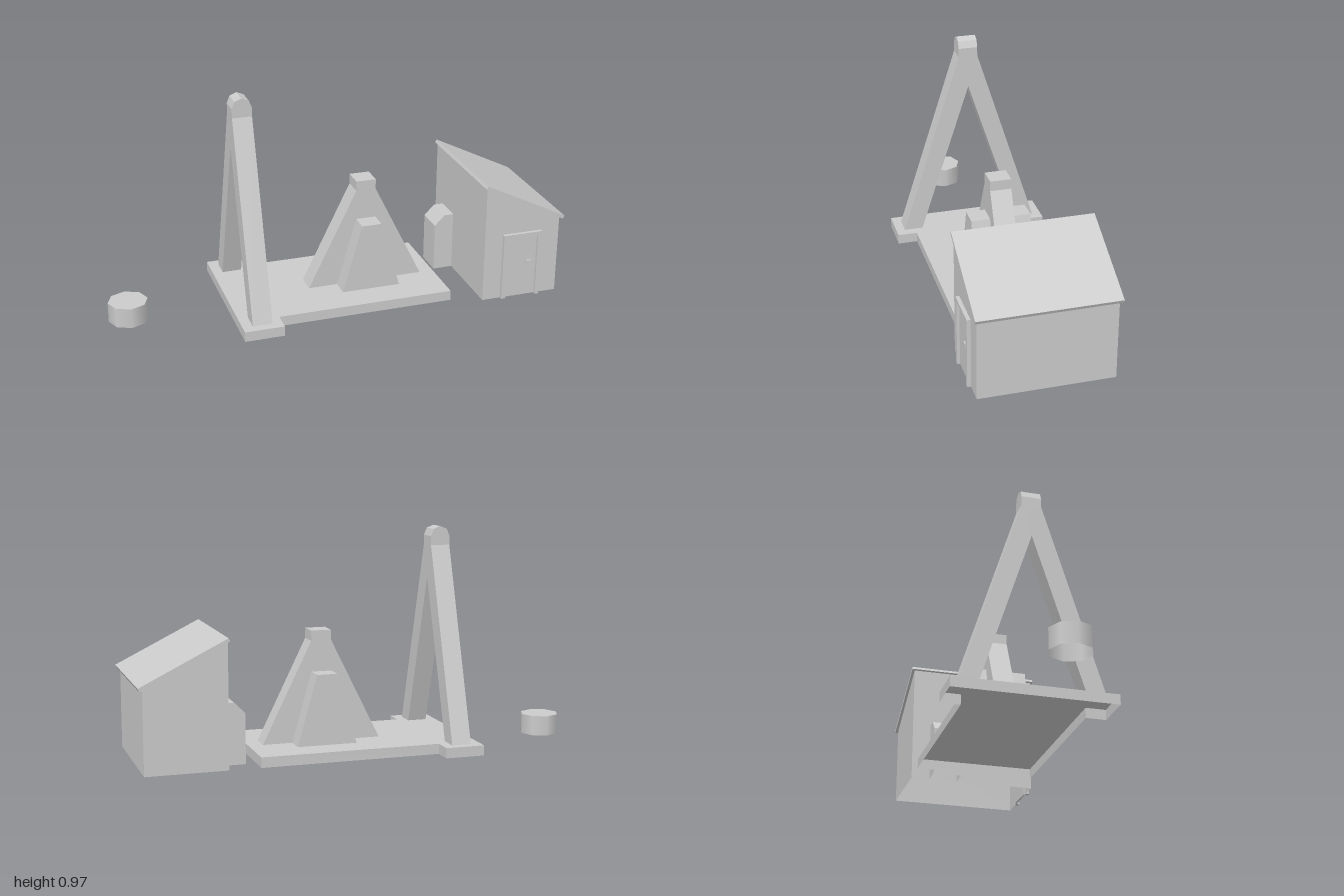
import * as THREE from 'three';

const material = new THREE.MeshStandardMaterial({ color: 0xcccccc, side: THREE.DoubleSide });

function add(parent, name, geometry) {
  const mesh = new THREE.Mesh(geometry, material);
  mesh.name = name;
  parent.add(mesh);
  return mesh;
}

function addGroup(parent, name) {
  const group = new THREE.Group();
  group.name = name;
  parent.add(group);
  return group;
}

// Extrude an outline given as [x, y] points from z0 to z1
function prism(points, z0, z1) {
  const shape = new THREE.Shape(points.map(([x, y]) => new THREE.Vector2(x, y)));
  const geometry = new THREE.ExtrudeGeometry(shape, { depth: z1 - z0, bevelEnabled: false });
  return geometry.translate(0, 0, z0);
}

// Remove the triangles lying on the ground so the shell is open below
function openBottom(geometry) {
  const flat = geometry.index ? geometry.toNonIndexed() : geometry;
  const p = flat.attributes.position, n = flat.attributes.normal;
  const pos = [], nor = [];
  for (let i = 0; i < p.count; i += 3) {
    if ([0, 1, 2].every(k => Math.abs(p.getY(i + k)) < 1e-5)) continue;
    for (let k = 0; k < 3; k++) {
      pos.push(p.getX(i + k), p.getY(i + k), p.getZ(i + k));
      nor.push(n.getX(i + k), n.getY(i + k), n.getZ(i + k));
    }
  }
  const result = new THREE.BufferGeometry();
  result.setAttribute('position', new THREE.Float32BufferAttribute(pos, 3));
  result.setAttribute('normal', new THREE.Float32BufferAttribute(nor, 3));
  return result;
}

function box(x0, x1, y0, y1, z0, z1) {
  return new THREE.BoxGeometry(x1 - x0, y1 - y0, z1 - z0)
    .translate((x0 + x1) / 2, (y0 + y1) / 2, (z0 + z1) / 2);
}

export function createModel() {
  const model = new THREE.Group();
  model.name = 'yard';
  const deck = 0.045;

  // Low octagonal drum, open below
  add(model, 'drum', openBottom(
    new THREE.CylinderGeometry(0.0875, 0.0875, 0.09, 8).translate(-0.912, 0.045, 0)));

  // T-shaped platform, hollow underneath
  const plate = prism([
    [-0.48, -0.353], [-0.305, -0.353], [-0.305, -0.265], [0.49, -0.265],
    [0.49, 0.265], [-0.305, 0.265], [-0.305, 0.353], [-0.48, 0.353],
  ], 0, deck).rotateX(-Math.PI / 2);
  add(model, 'platform', openBottom(plate));

  // Tall A-frame with a rounded head
  const frame = addGroup(model, 'aFrame');
  add(frame, 'legs', prism([
    [-0.313, deck], [-0.228, deck], [0, 0.745], [0.228, deck],
    [0.313, deck], [0.043, 0.89], [-0.043, 0.89],
  ], -0.0435, 0.0435).rotateY(Math.PI / 2).translate(-0.3915, 0, 0));
  const head = [[-0.0435, 0.89], [0.0435, 0.89]];
  for (let i = 0; i <= 4; i++) {
    const a = i * Math.PI / 4;
    head.push([0.0435 * Math.cos(a), 0.93 + 0.0435 * Math.sin(a)]);
  }
  add(frame, 'head', prism(head, -0.043, 0.043).translate(-0.3915, 0, 0));

  // Crossed tapering buttresses
  const tower = addGroup(model, 'buttressTower');
  add(tower, 'mainButtress', prism([
    [-0.265, deck], [0.265, deck], [0.045, 0.49], [0.045, 0.535],
    [-0.045, 0.535], [-0.045, 0.49],
  ], -0.047, 0.047).translate(0.161, 0, 0));
  add(tower, 'crossButtress', prism([
    [-0.133, deck], [0.133, deck], [0.045, 0.355], [-0.045, 0.355],
  ], -0.134, 0.131).translate(0.161, 0, 0));

  // Shed with a single-pitch roof, open below
  const shed = addGroup(model, 'shed');
  add(shed, 'walls', openBottom(prism([
    [0.625, 0], [0.98, 0], [0.98, 0.366], [0.625, 0.54],
  ], -0.264, 0.311)));
  add(shed, 'roof', prism([
    [0.617, 0.542], [0.993, 0.353], [1.0, 0.368], [0.624, 0.555],
  ], -0.276, 0.321));
  add(shed, 'sideBox', openBottom(prism([
    [0.535, 0], [0.625, 0], [0.625, 0.267], [0.582, 0.267], [0.535, 0.22],
  ], -0.18, -0.05)));

  // Door, its surround and handle
  add(shed, 'doorFrame', prism([
    [0.71, 0], [0.728, 0], [0.728, 0.294], [0.874, 0.294],
    [0.874, 0], [0.892, 0], [0.892, 0.31], [0.71, 0.31],
  ], 0.311, 0.327));
  add(shed, 'door', box(0.728, 0.874, 0.002, 0.294, 0.305, 0.315));
  add(shed, 'doorHandle', box(0.826, 0.85, 0.158, 0.172, 0.312, 0.324));

  return model;
}
